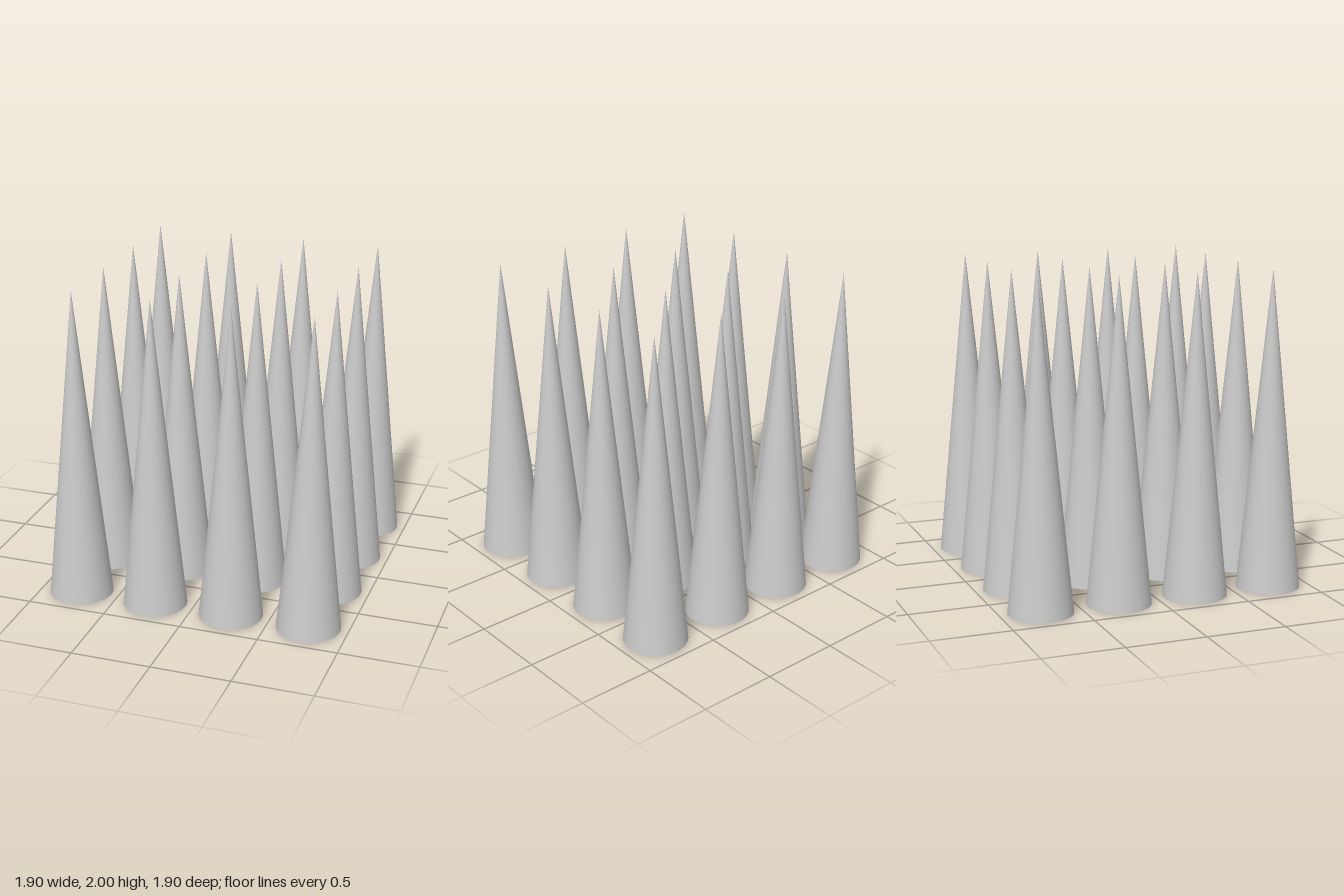
import * as THREE from 'three';

export function createModel() {
  const group = new THREE.Group();
  group.name = 'spikeGrid';
  const material = new THREE.MeshStandardMaterial({ color: 0xcccccc });

  // One tall spike with a closed base, standing on the ground
  const height = 2, radius = 0.2, spacing = 0.5, count = 4;
  const spike = new THREE.ConeGeometry(radius, height, 48);
  spike.translate(0, height / 2, 0);

  // Four rows of four spikes, centred on the origin
  const offset = (count - 1) / 2;
  for (let row = 0; row < count; row++) {
    for (let column = 0; column < count; column++) {
      const mesh = new THREE.Mesh(spike, material);
      mesh.name = `spikeRow${row + 1}Column${column + 1}`;
      mesh.position.set((column - offset) * spacing, 0, (row - offset) * spacing);
      group.add(mesh);
    }
  }
  return group;
}
